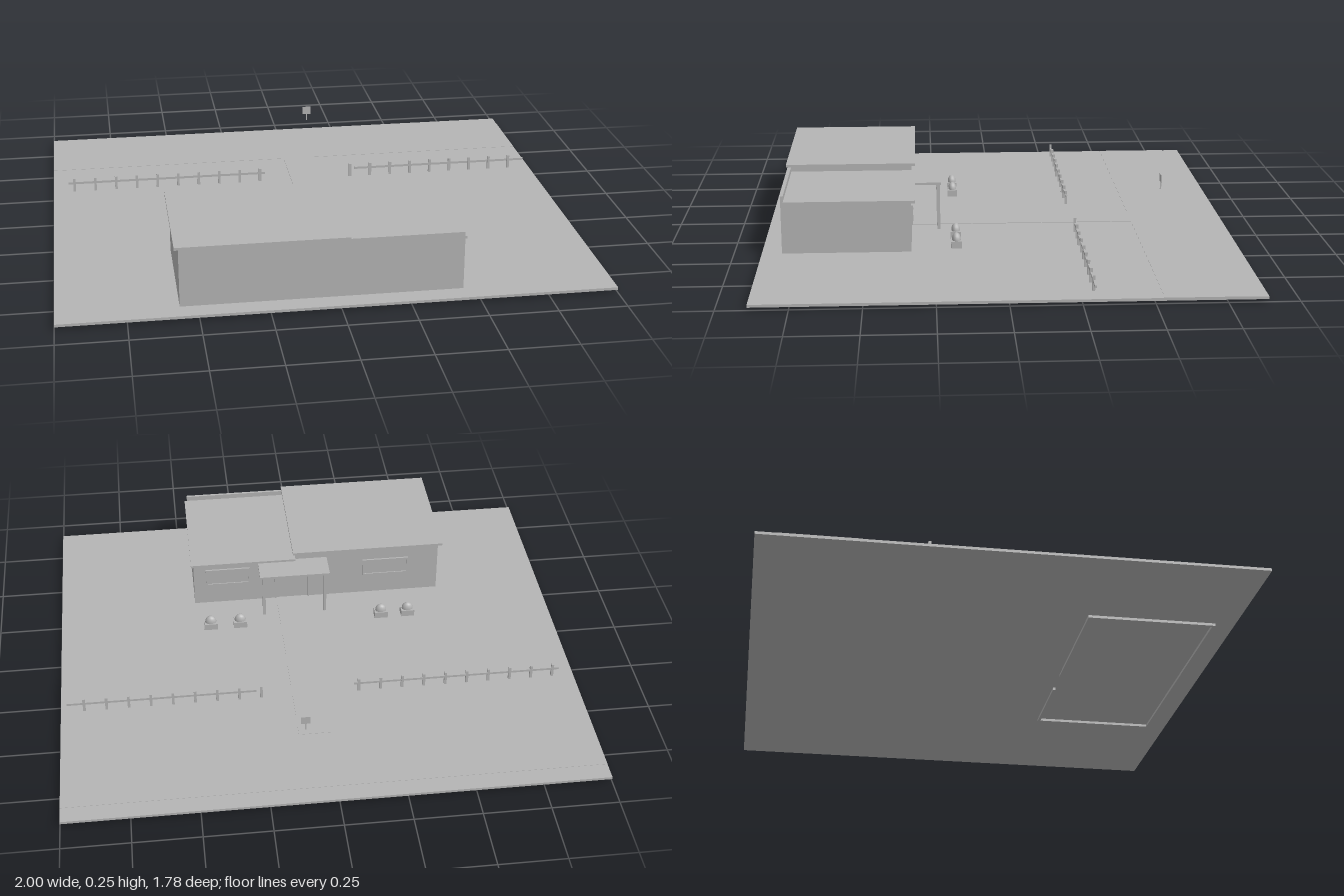
import * as THREE from 'three';

const grey = new THREE.MeshStandardMaterial({ color: 0xb4b4b4 });
grey.name = 'plain grey';

// Box given by its minimum and maximum corners
function box(parent, name, x0, x1, y0, y1, z0, z1) {
  const mesh = new THREE.Mesh(new THREE.BoxGeometry(x1 - x0, y1 - y0, z1 - z0), grey);
  mesh.position.set((x0 + x1) / 2, (y0 + y1) / 2, (z0 + z1) / 2);
  mesh.name = name;
  parent.add(mesh);
  return mesh;
}

function group(parent, name) {
  const g = new THREE.Group();
  g.name = name;
  parent.add(g);
  return g;
}

// Framed window standing slightly proud of the wall
function addWindow(parent, x0, x1, y0, y1) {
  const g = group(parent, 'window');
  const t = 0.006;
  box(g, 'windowPane', x0, x1, y0, y1, 0.332, 0.336);
  box(g, 'windowHead', x0, x1, y1 - t, y1, 0.328, 0.336);
  box(g, 'windowSill', x0, x1, y0, y0 + t, 0.328, 0.336);
  for (const x of [x0, x1 - t]) box(g, 'windowJamb', x, x + t, y0, y1, 0.328, 0.336);
}

// Row of posts carrying one rail
function addFence(parent, railStart, railEnd, firstPost, count) {
  const g = group(parent, 'fence');
  box(g, 'fenceRail', railStart, railEnd, 0.051, 0.06, -0.299, -0.292);
  for (let i = 0; i < count; i++) {
    const x = firstPost + i * 0.085;
    box(g, 'fencePost', x - 0.005, x + 0.005, 0.018, 0.075, -0.3, -0.29);
  }
}

// Square planter with a rounded shrub
function addPlanter(parent, x) {
  const g = group(parent, 'planter');
  box(g, 'planterBox', x - 0.027, x + 0.027, 0.018, 0.047, 0.147, 0.187);
  const shrub = new THREE.Mesh(new THREE.SphereGeometry(1, 14, 10), grey);
  shrub.scale.set(0.023, 0.027, 0.017);
  shrub.position.set(x, 0.048, 0.167);
  shrub.name = 'shrub';
  g.add(shrub);
}

export function createModel() {
  const model = new THREE.Group();
  model.name = 'houseOnPlot';

  // Plot, road and path
  box(model, 'ground', -1, 1, 0.01, 0.02, -0.89, 0.89);
  box(model, 'road', -1, 1, 0.019, 0.021, -0.82, -0.53);
  box(model, 'path', -0.02, 0.11, 0.019, 0.022, -0.53, 0.335);

  // Walls, with a gap at the front door
  const house = group(model, 'house');
  const w = 0.01;
  box(house, 'backWall', -0.565, 0.45, 0, 0.24, 0.805, 0.815);
  box(house, 'highSideWall', -0.565, -0.565 + w, 0, 0.24, 0.335, 0.805);
  box(house, 'lowSideWall', 0.45 - w, 0.45, 0, 0.21, 0.335, 0.805);
  box(house, 'highFrontWall', -0.565 + w, -0.02, 0, 0.24, 0.335, 0.345);
  box(house, 'lowFrontWall', 0.11, 0.45 - w, 0, 0.21, 0.335, 0.345);
  box(house, 'overDoorWall', -0.02, 0.11, 0.165, 0.21, 0.335, 0.345);
  box(house, 'highWallReturn', -0.02, 0.03, 0.21, 0.24, 0.335, 0.345);
  box(house, 'partition', 0.02, 0.03, 0.21, 0.24, 0.345, 0.805);
  box(house, 'door', -0.02, 0.11, 0.02, 0.165, 0.338, 0.343);

  // Two flat roofs at different heights
  box(house, 'highRoof', -0.58, 0.04, 0.24, 0.25, 0.32, 0.825);
  box(house, 'lowRoof', 0.03, 0.46, 0.21, 0.22, 0.32, 0.805);

  // Door frame and windows
  for (const x of [-0.026, 0.11]) box(house, 'doorJamb', x, x + 0.006, 0.02, 0.171, 0.33, 0.338);
  box(house, 'doorHead', -0.026, 0.116, 0.165, 0.171, 0.33, 0.338);
  addWindow(house, -0.44, -0.25, 0.11, 0.185);
  addWindow(house, 0.22, 0.4, 0.11, 0.185);

  // Entrance canopy on two posts
  const porch = group(model, 'porch');
  box(porch, 'canopy', -0.1, 0.185, 0.202, 0.211, 0.22, 0.335);
  for (const x of [-0.08, 0.17]) box(porch, 'porchPost', x - 0.006, x + 0.006, 0.018, 0.203, 0.224, 0.236);

  // Planters and fences
  for (const x of [-0.415, -0.305, 0.275, 0.395]) addPlanter(model, x);
  addFence(model, -0.94, -0.13, -0.915, 10);
  addFence(model, 0.25, 0.975, 0.23, 9);

  // Small roadside sign
  const sign = group(model, 'sign');
  box(sign, 'signBoard', 0.08, 0.115, 0.178, 0.21, -0.648, -0.643);
  box(sign, 'signStem', 0.095, 0.1, 0.15, 0.178, -0.648, -0.643);

  return model;
}
